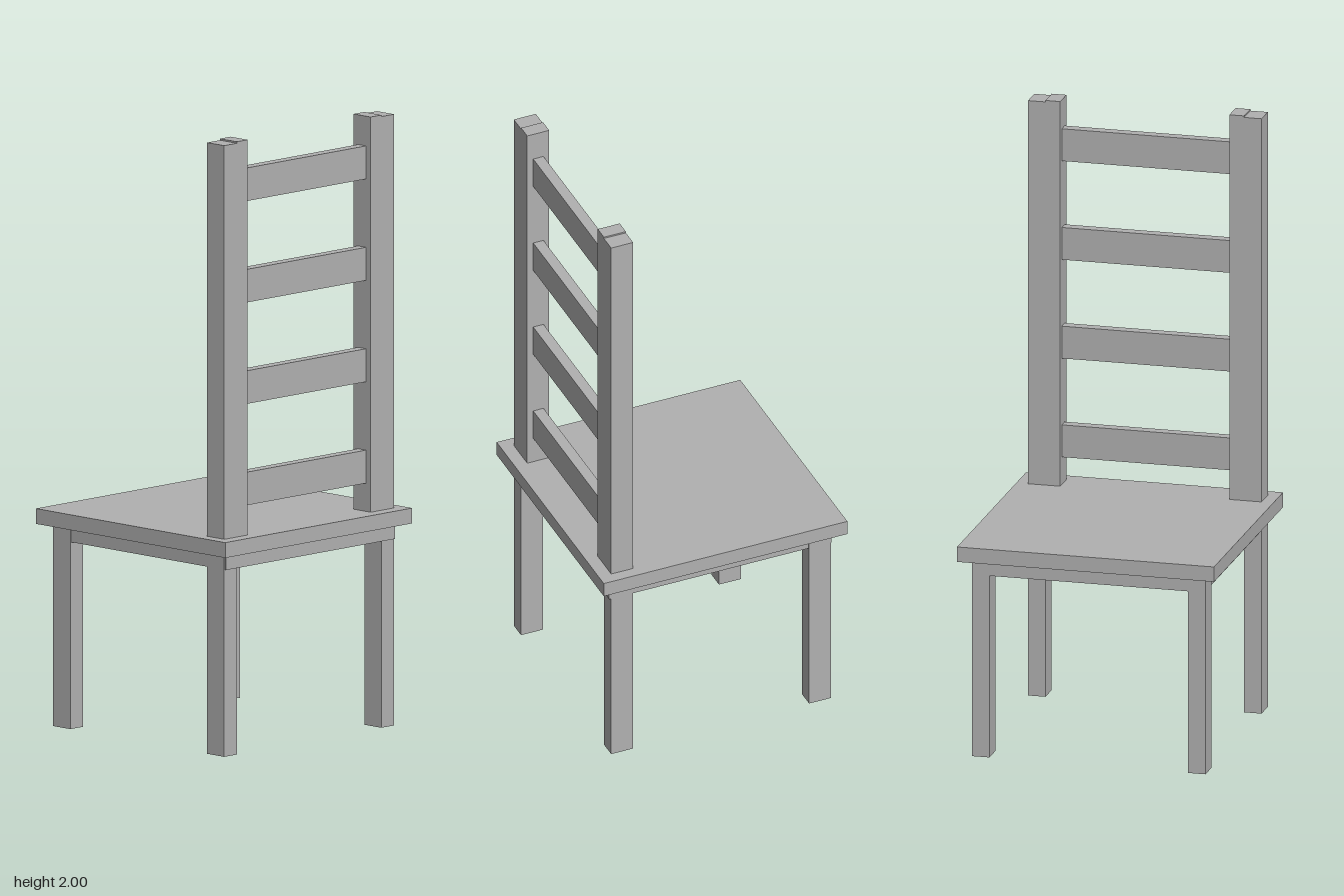
import * as THREE from 'three';

export function createModel() {
  const chair = new THREE.Group();
  chair.name = 'chair';
  const grey = new THREE.MeshStandardMaterial({ color: 0xb0b0b0 });
  grey.name = 'plain grey';

  // Box given by its minimum and maximum on each axis
  function box(name, [x0, x1], [y0, y1], [z0, z1]) {
    const mesh = new THREE.Mesh(new THREE.BoxGeometry(x1 - x0, y1 - y0, z1 - z0), grey);
    mesh.position.set((x0 + x1) / 2, (y0 + y1) / 2, (z0 + z1) / 2);
    mesh.name = name;
    chair.add(mesh);
  }
  // Range mirrored to the chosen side of zero
  const side = (s, a, b) => (s > 0 ? [a, b] : [-b, -a]);

  // Seat board
  box('seat', [-0.427, 0.427], [0.66, 0.71], [-0.427, 0.427]);

  for (const s of [1, -1]) {
    // Short legs, and legs that run on up into the backrest at +x
    box('shortLeg', [-0.387, -0.31], [0, 0.66], side(s, 0.33, 0.388));
    box('backLeg', [0.307, 0.384], [0, 1.995], side(s, 0.33, 0.388));
    // Inner half of each backrest post, a touch taller
    box('postInner', [0.307, 0.384], [0.71, 2], side(s, 0.281, 0.33));
    // Apron rails under the seat
    box('sideApron', [-0.39, 0.39], [0.61, 0.66], side(s, 0.345, 0.385));
    box('endApron', side(s, 0.35, 0.39), [0.61, 0.66], [-0.345, 0.345]);
  }

  // Backrest slats
  for (let i = 0; i < 4; i++) {
    const y = 0.802 + i * 0.331;
    box('slat', [0.327, 0.363], [y, y + 0.108], [-0.281, 0.281]);
  }
  return chair;
}
